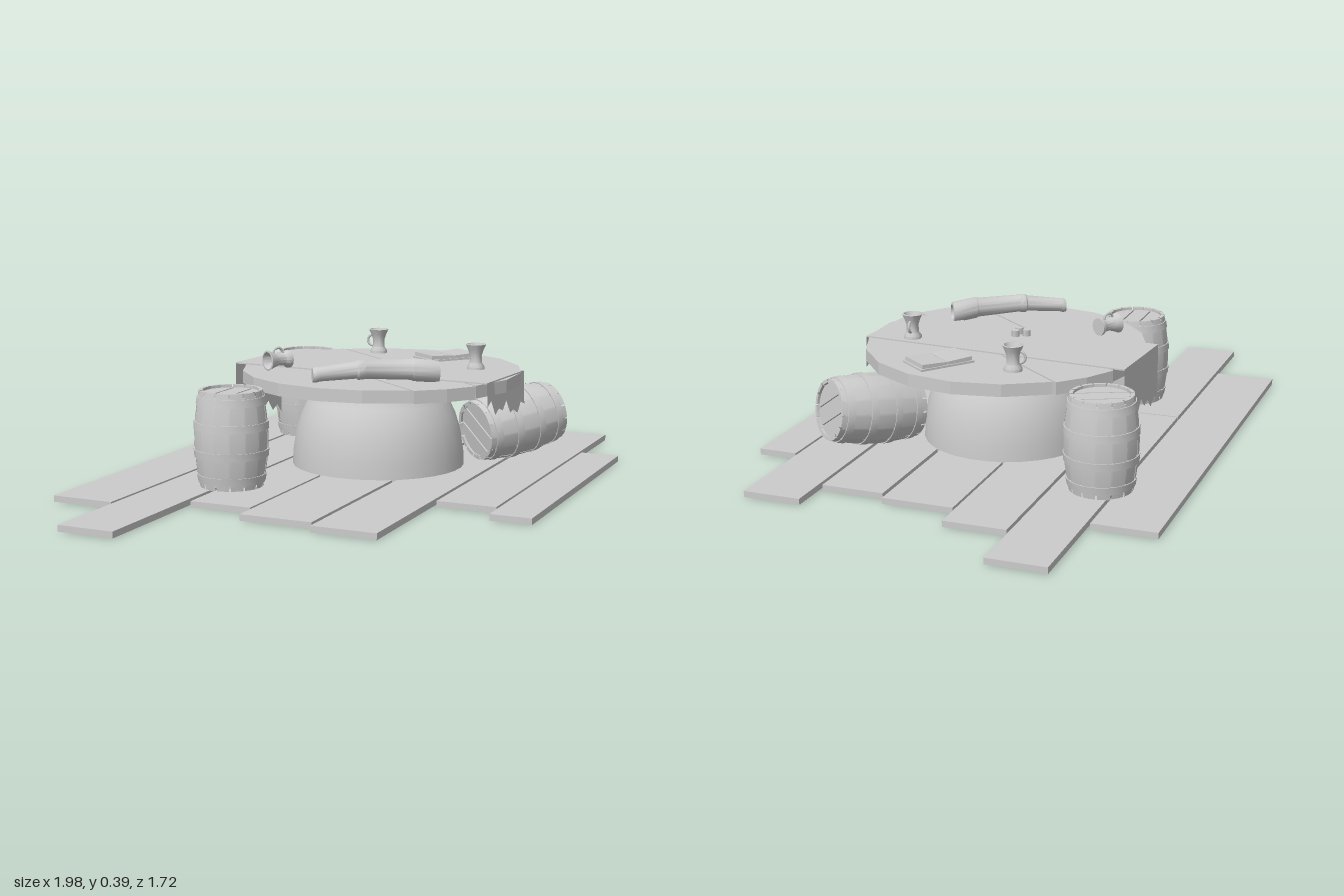
import * as THREE from 'three';
import { toCreasedNormals } from 'three/addons/utils/BufferGeometryUtils.js';

const mat = new THREE.MeshStandardMaterial({ color: 0xcccccc });
const thinMat = new THREE.MeshStandardMaterial({ color: 0xcccccc, side: THREE.DoubleSide });
const V2 = (x, y) => new THREE.Vector2(x, y);

function add(parent, name, geo, x = 0, y = 0, z = 0, material = mat) {
  const mesh = new THREE.Mesh(geo, material);
  mesh.name = name;
  mesh.position.set(x, y, z);
  parent.add(mesh);
  return mesh;
}

function lathe(points, segments, start = 0, length = Math.PI * 2) {
  const geo = new THREE.LatheGeometry(points.map(p => V2(...p)), segments, start, length);
  return toCreasedNormals(geo, 0.6);
}

// Flat board cut from a disc between x0 and x1, lying on y = 0
function discSlice(r, x0, x1, thickness, sides) {
  const a0 = Math.acos(Math.min(1, x1 / r)), a1 = Math.acos(Math.max(-1, x0 / r));
  const n = Math.max(2, Math.round((a1 - a0) / (Math.PI * 2 / sides)));
  const pts = [];
  for (let i = 0; i <= n; i++) {
    const a = a0 + (a1 - a0) * i / n;
    pts.push(V2(r * Math.cos(a), r * Math.sin(a)));
  }
  const mirrored = pts.map(p => V2(p.x, -p.y)).reverse();
  const shape = new THREE.Shape([...pts, ...mirrored]);
  return new THREE.ExtrudeGeometry(shape, { depth: thickness, bevelEnabled: false }).rotateX(-Math.PI / 2);
}

// Floor planks: [across from, across to, along from, along to]
function makeFloor() {
  const floor = new THREE.Group();
  floor.name = 'floor';
  const rows = [
    [-0.54, -0.352, -0.735, 0.65],
    [-0.342, -0.175, -1.005, -0.253], [-0.342, -0.17, -0.247, 0.948],
    [-0.16, 0.024, -0.634, 0.766],
    [0.032, 0.243, -0.708, 0.675],
    [0.255, 0.442, -0.74, 0.645],
    [0.453, 0.626, -0.35, 0.76],
    [0.634, 0.752, -0.43, 0.447],
  ];
  for (const [t0, t1, s0, s1] of rows)
    add(floor, 'plank', new THREE.BoxGeometry(s1 - s0, 0.018, t1 - t0), (s0 + s1) / 2, 0.009, (t0 + t1) / 2);
  floor.rotation.y = 0.688;
  return floor;
}

// Barrel standing on y = 0: core, separate staves, hoops and slatted lids
function makeBarrel() {
  const barrel = new THREE.Group();
  barrel.name = 'barrel';
  const h = 0.28, steps = 8, staves = 14;
  const radius = y => 0.091 + 0.015 * Math.sin(Math.PI * y / h);
  const outer = [], core = [[0, 0.014]];
  for (let i = 0; i <= steps; i++) {
    const y = h * i / steps;
    outer.push([radius(y), y]);
    core.push([radius(y) - 0.006, THREE.MathUtils.clamp(y, 0.014, h - 0.014)]);
  }
  core.push([0, h - 0.014]);
  add(barrel, 'barrelCore', lathe(core, 28));
  const stave = [[0.08, 0], ...outer, [0.08, h], [0.08, h - 0.02]];
  for (let i = 0; i < staves; i++) {
    const step = Math.PI * 2 / staves;
    add(barrel, 'stave', lathe(stave, 2, i * step, step - 0.05), 0, 0, 0, thinMat);
  }
  for (const y of [0.028, 0.1, 0.18, 0.252]) {
    const a = y - 0.011, b = y + 0.011, e = 0.003;
    add(barrel, 'hoop', lathe([[radius(a) - 0.003, a], [radius(a) + e, a], [radius(b) + e, b], [radius(b) - 0.003, b]], 28));
  }
  for (const y of [0.008, h - 0.014])
    for (const [x0, x1] of [[-0.079, -0.03], [-0.025, 0.025], [0.03, 0.079]])
      add(barrel, 'lidSlat', discSlice(0.08, x0, x1, 0.006, 28), 0, y, 0);
  return barrel;
}

// Waisted mug with a hollow bowl and side handle
function makeMug() {
  const mug = new THREE.Group();
  mug.name = 'mug';
  const profile = [[0, 0], [0.027, 0], [0.027, 0.008], [0.019, 0.02], [0.018, 0.042], [0.024, 0.06],
    [0.031, 0.076], [0.026, 0.077], [0.019, 0.06], [0.014, 0.042], [0, 0.04]];
  add(mug, 'mugBody', lathe(profile, 14));
  add(mug, 'mugHandle', new THREE.TorusGeometry(0.017, 0.004, 6, 10, Math.PI).rotateZ(-Math.PI / 2), 0.019, 0.04, 0);
  return mug;
}

// Spyglass-like tube with stepped sections, sagging at both ends
function makeTube() {
  const profile = [[0, -0.185], [0.02, -0.185], [0.023, -0.175], [0.021, -0.165], [0.025, -0.06], [0.029, -0.055],
    [0.029, -0.04], [0.027, -0.035], [0.03, 0.1], [0.033, 0.105], [0.033, 0.18], [0.026, 0.182], [0.024, 0.165], [0, 0.165]];
  const geo = new THREE.LatheGeometry(profile.map(p => V2(...p)), 16).rotateZ(-Math.PI / 2);
  const p = geo.attributes.position;
  for (let i = 0; i < p.count; i++) {
    const x = p.getX(i);
    p.setY(i, p.getY(i) - 0.45 * x * x);
    p.setZ(i, p.getZ(i) - 0.3 * x * x);
  }
  return toCreasedNormals(geo, 0.6);
}

// Ragged hanging end of the cloth; depths run from one side to the other
function makeDrape(width, depths) {
  const pts = [V2(-width / 2, 0)];
  depths.forEach((d, i) => pts.push(V2(-width / 2 + width * i / (depths.length - 1), -d)));
  pts.push(V2(width / 2, 0));
  return new THREE.ShapeGeometry(new THREE.Shape(pts));
}

function makeTable() {
  const table = new THREE.Group();
  table.name = 'table';
  const cx = 0.118, cz = 0.05;
  // Domed pedestal
  add(table, 'pedestal', lathe([[0, 0], [0.262, 0], [0.26, 0.06], [0.25, 0.125], [0.236, 0.17], [0.215, 0.215],
    [0.19, 0.25], [0.185, 0.277], [0, 0.277]], 32), 0.11, 0, 0.045);
  // Three boards with narrow gaps
  for (const [r, x0, x1] of [[0.422, -0.422, -0.121], [0.43, -0.115, 0.079], [0.423, 0.085, 0.423]])
    add(table, 'tableBoard', discSlice(r, x0, x1, 0.037, 20), cx, 0.272, cz);
  // Cloth strip with ragged ends
  const cloth = new THREE.Group();
  cloth.name = 'tableCloth';
  cloth.position.set(0.108, 0.311, 0.04);
  cloth.rotation.y = 0.617;
  add(cloth, 'clothTop', new THREE.BoxGeometry(0.275, 0.004, 0.842));
  const front = add(cloth, 'frontDrape', makeDrape(0.275, [0.07, 0.055, 0.1, 0.085, 0.095, 0.07, 0.11, 0.105, 0.12, 0.09, 0.1]), 0, 0.002, 0.421, thinMat);
  front.rotation.x = -0.04;
  const back = add(cloth, 'backDrape', makeDrape(0.275, [0.2, 0.17, 0.185, 0.15, 0.17, 0.13, 0.16, 0.15, 0.18, 0.155, 0.17]), 0, 0.002, -0.421, thinMat);
  back.rotation.y = Math.PI;
  table.add(cloth);
  return table;
}

function makeTableware() {
  const set = new THREE.Group();
  set.name = 'tableware';
  const top = 0.312;
  for (const [x, z, turn] of [[0.35, 0.215, 0.8], [0.25, -0.225, 2.4]]) {
    const mug = makeMug();
    mug.position.set(x, top, z);
    mug.rotation.y = turn;
    set.add(mug);
  }
  // Mug knocked over
  const fallen = makeMug();
  fallen.position.set(-0.143, top + 0.028, -0.055);
  fallen.rotation.set(0, 0.15, Math.PI / 2);
  set.add(fallen);
  const tube = add(set, 'spyglass', makeTube(), -0.025, top + 0.037, 0.295);
  tube.rotation.y = -0.29;
  // Open book
  const book = new THREE.Group();
  book.name = 'book';
  book.position.set(0.392, 0.309, -0.04);
  book.rotation.y = 0.03;
  add(book, 'cover', new THREE.BoxGeometry(0.172, 0.006, 0.112), 0, 0.003, 0);
  for (const s of [-1, 1])
    add(book, 'pages', new THREE.BoxGeometry(0.08, 0.012, 0.104), s * 0.041, 0.011, 0).rotation.z = s * 0.05;
  set.add(book);
  // Small tokens
  for (const [x, z] of [[0.045, 0.055], [0.076, 0.068], [0.052, 0.087]])
    add(set, 'token', new THREE.CylinderGeometry(0.012, 0.012, 0.02, 6), x, top + 0.01, z);
  return set;
}

export function createModel() {
  const model = new THREE.Group();
  model.name = 'tavernTable';
  model.add(makeFloor(), makeTable(), makeTableware());
  // Two standing barrels
  for (const [x, z, turn] of [[-0.413, 0.142, -0.87], [0.117, -0.485, 1.1]]) {
    const barrel = makeBarrel();
    barrel.position.set(x, 0.016, z);
    barrel.rotation.y = turn;
    model.add(barrel);
  }
  // Barrel lying on its side
  const axis = new THREE.Vector3(0.985, 0.14, -0.04).normalize();
  const lying = makeBarrel();
  lying.quaternion.setFromUnitVectors(new THREE.Vector3(0, 1, 0), axis)
    .multiply(new THREE.Quaternion().setFromAxisAngle(new THREE.Vector3(0, 1, 0), 0.6));
  lying.position.set(0.518, 0.132, 0.163).addScaledVector(axis, -0.14);
  model.add(lying);
  return model;
}
